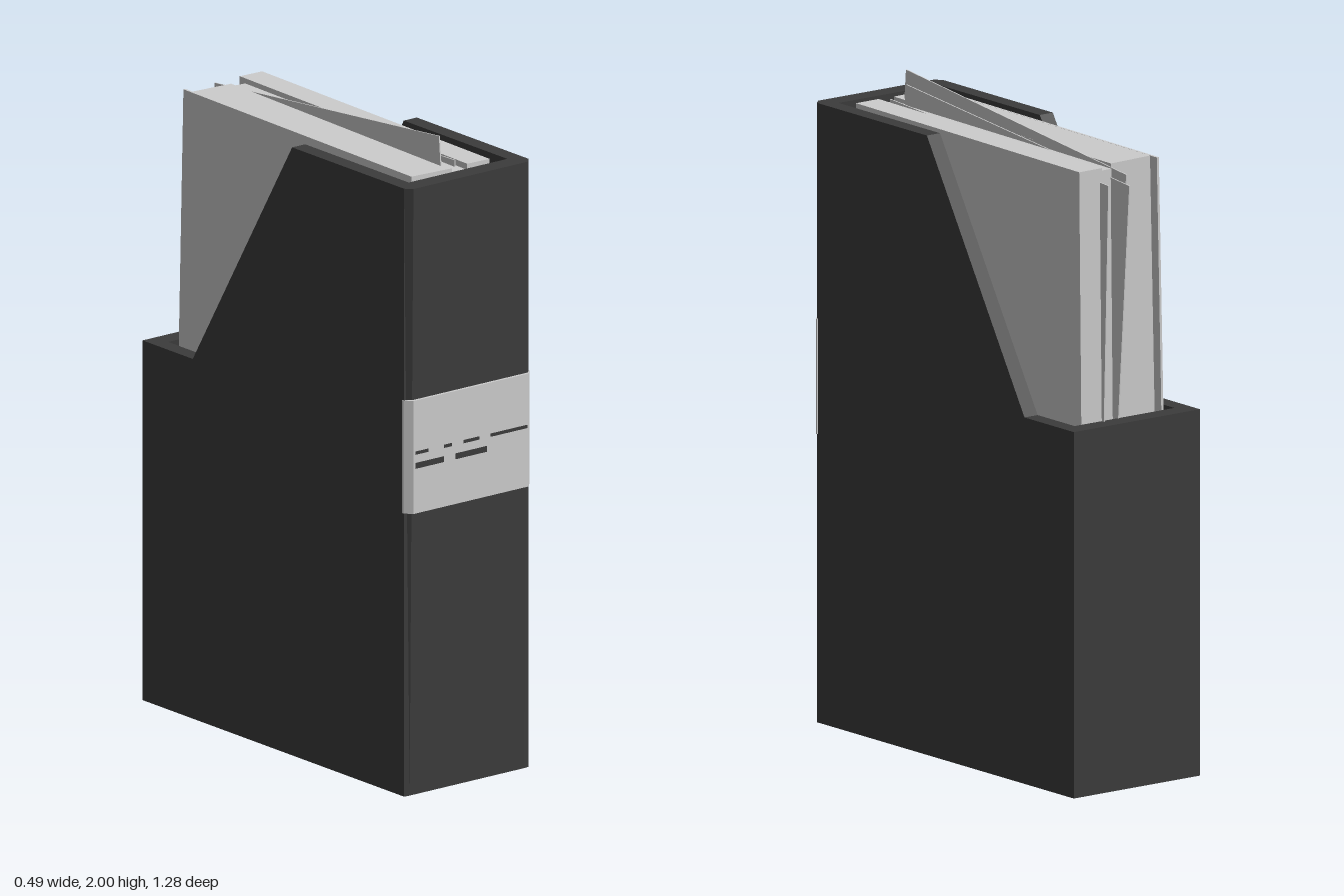
import * as THREE from 'three';

const charcoal = new THREE.MeshStandardMaterial({ color: 0x3c3c3c });
charcoal.name = 'charcoal board';
const paper = new THREE.MeshStandardMaterial({ color: 0xcdcdcd });
paper.name = 'pale paper';

const W = 0.24, WALL = 0.05, BACK = -0.63, FRONT = 0.64, INNER = 0.58, TALL = 1.91, LOW = 1.13;

function add(parent, name, geometry, material, x = 0, y = 0, z = 0) {
  const mesh = new THREE.Mesh(geometry, material);
  mesh.name = name;
  mesh.position.set(x, y, z);
  parent.add(mesh);
  return mesh;
}

// Extrude a plan outline of [x, z] points upward
function planExtrude(points, height) {
  const shape = new THREE.Shape(points.map(([x, z]) => new THREE.Vector2(x, -z)));
  return new THREE.ExtrudeGeometry(shape, { depth: height, bevelEnabled: false }).rotateX(-Math.PI / 2);
}

// Front outline with chamfered corners, grown by g
const frontPlan = (back, g = 0) => [
  [-W - g, back], [-W - g, 0.62], [-0.22 - g / 2, FRONT + g],
  [0.22 + g / 2, FRONT + g], [W + g, 0.62], [W + g, back],
];

// A sheet or stack hung from its top centre, so it can lean and turn
function sheaf(parent, name, [w, h, l], [x, y, z], [rx, ry, rz]) {
  const mesh = add(parent, name, new THREE.BoxGeometry(w, h, l).translate(0, -h / 2, 0), paper, x, y, z);
  mesh.rotation.set(rx, ry, rz);
}

export function createModel() {
  const model = new THREE.Group();
  model.name = 'magazineFile';

  // Case: two cut-away sides, a chamfered front, a low back and a floor
  const box = new THREE.Group();
  box.name = 'case';
  model.add(box);
  const profile = new THREE.Shape([
    [-INNER, 0], [-BACK, 0], [-BACK, LOW], [0.39, LOW], [-0.085, TALL], [-INNER, TALL],
  ].map(([a, b]) => new THREE.Vector2(a, b)));
  const side = new THREE.ExtrudeGeometry(profile, { depth: WALL, bevelEnabled: false }).rotateY(Math.PI / 2);
  add(box, 'rightSide', side, charcoal, -W);
  add(box, 'leftSide', side, charcoal, W - WALL);

  const front = planExtrude(frontPlan(INNER), TALL);
  const p = front.attributes.position;
  for (let i = 0; i < p.count; i++) {
    // tuck in the front bottom edge
    if (p.getY(i) < 0.01 && p.getZ(i) > 0.63) p.setZ(i, 0.622);
  }
  front.computeVertexNormals();
  add(box, 'frontPanel', front, charcoal);

  const inside = 2 * (W - WALL);
  add(box, 'backPanel', new THREE.BoxGeometry(inside, LOW, 0.06), charcoal, 0, LOW / 2, BACK + 0.03);
  add(box, 'floor', new THREE.BoxGeometry(inside, 0.05, INNER - BACK - 0.06), charcoal, 0, 0.025, 0.005);

  // Label wrapped over the front, with plain ruled bars
  const label = new THREE.Group();
  label.name = 'label';
  model.add(label);
  add(label, 'labelBand', planExtrude(frontPlan(0.615, 0.003), 0.355), paper, 0, 0.89, 0);
  const bars = [
    [-0.19, 1.08, 0.05, 0.01], [-0.09, 1.08, 0.03, 0.01], [0, 1.08, 0.06, 0.01], [0.145, 1.08, 0.14, 0.01],
    [-0.16, 1.04, 0.11, 0.018], [0, 1.04, 0.12, 0.018],
  ];
  for (const [x, y, w, h] of bars) {
    add(label, 'labelBar', new THREE.BoxGeometry(w, h, 0.002), charcoal, x, y, FRONT + 0.0035);
  }

  // Leaning stacks of paper
  const papers = new THREE.Group();
  papers.name = 'papers';
  model.add(papers);
  const turn = -0.018, lean = -0.022;
  sheaf(papers, 'cover', [0.008, 1.855, 1.115], [-0.137, 1.912, -0.0125], [0, turn, lean]);
  sheaf(papers, 'thickStack', [0.148, 1.855, 1.08], [-0.06, 1.91, 0.005], [0, turn, lean]);
  sheaf(papers, 'middleStack', [0.06, 1.84, 1.09], [0.045, 1.895, 0], [0, -0.03, lean]);
  sheaf(papers, 'outerStack', [0.085, 1.855, 1.115], [0.118, 1.91, -0.0125], [0, -0.02, -0.01]);

  // Loose sheets tipped up at the front
  sheaf(papers, 'looseSheet', [0.004, 0.95, 1.12], [0.012, 1.945, -0.06], [-0.098, -0.03, -0.012]);
  sheaf(papers, 'looseSheet', [0.004, 0.95, 1.12], [0.022, 1.91, -0.08], [-0.089, -0.02, -0.012]);
  sheaf(papers, 'looseSheet', [0.004, 0.95, 1.12], [0.072, 1.89, -0.055], [-0.045, -0.04, -0.012]);
  return model;
}
